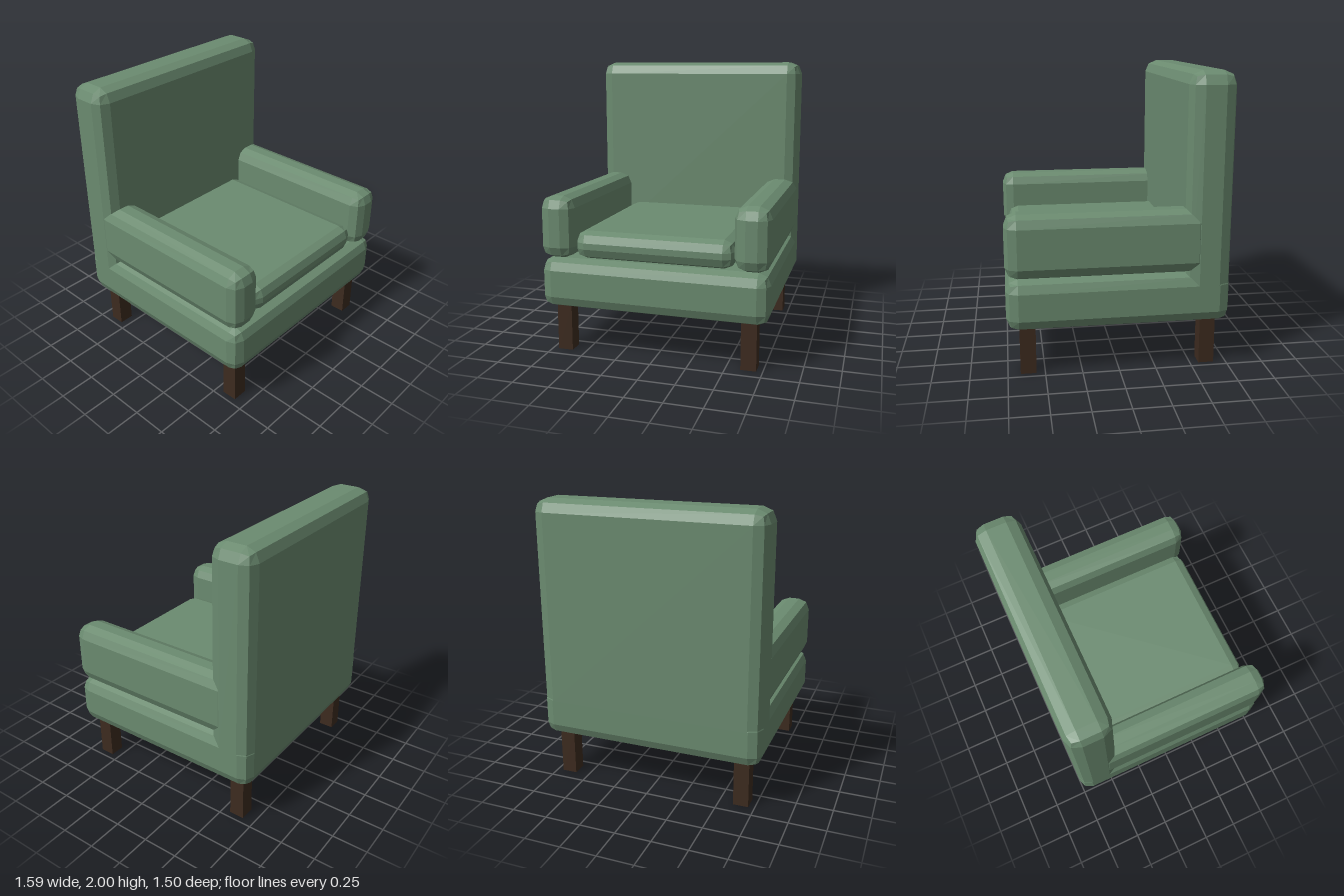
import * as THREE from 'three';
import { RoundedBoxGeometry } from 'three/addons/geometries/RoundedBoxGeometry.js';

const fabric = new THREE.MeshStandardMaterial({ color: 0x6b8b70 });
fabric.name = 'green fabric';
const wood = new THREE.MeshStandardMaterial({ color: 0x3d2b1f });
wood.name = 'dark wood';

// Faceted upholstered block spanning [min, max] on each axis
function block(name, [x0, x1], [y0, y1], [z0, z1], radius) {
  const geometry = new RoundedBoxGeometry(x1 - x0, y1 - y0, z1 - z0, 1, radius);
  geometry.computeVertexNormals(); // unshared corners give flat facets
  const mesh = new THREE.Mesh(geometry, fabric);
  mesh.name = name;
  mesh.position.set((x0 + x1) / 2, (y0 + y1) / 2, (z0 + z1) / 2);
  return mesh;
}

export function createModel() {
  const chair = new THREE.Group();
  chair.name = 'armchair';

  // Upholstery
  chair.add(
    block('seatBase', [-0.795, 0.795], [0.325, 0.675], [-0.75, 0.75], 0.082),
    block('seatCushion', [-0.555, 0.555], [0.675, 0.868], [-0.55, 0.711], 0.075),
    block('backrest', [-0.795, 0.795], [0.5, 2], [-0.75, -0.438], 0.088),
    block('leftArm', [0.553, 0.795], [0.675, 1.107], [-0.6, 0.75], 0.082),
    block('rightArm', [-0.795, -0.553], [0.675, 1.107], [-0.6, 0.75], 0.082)
  );

  // Square legs at the four corners
  const legGeometry = new THREE.BoxGeometry(0.106, 0.34, 0.106);
  for (const x of [-1, 1]) {
    for (const z of [-1, 1]) {
      const leg = new THREE.Mesh(legGeometry, wood);
      leg.name = (z > 0 ? 'front' : 'back') + (x > 0 ? 'Left' : 'Right') + 'Leg';
      leg.position.set(x * 0.654, 0.17, z * 0.612);
      chair.add(leg);
    }
  }
  return chair;
}
